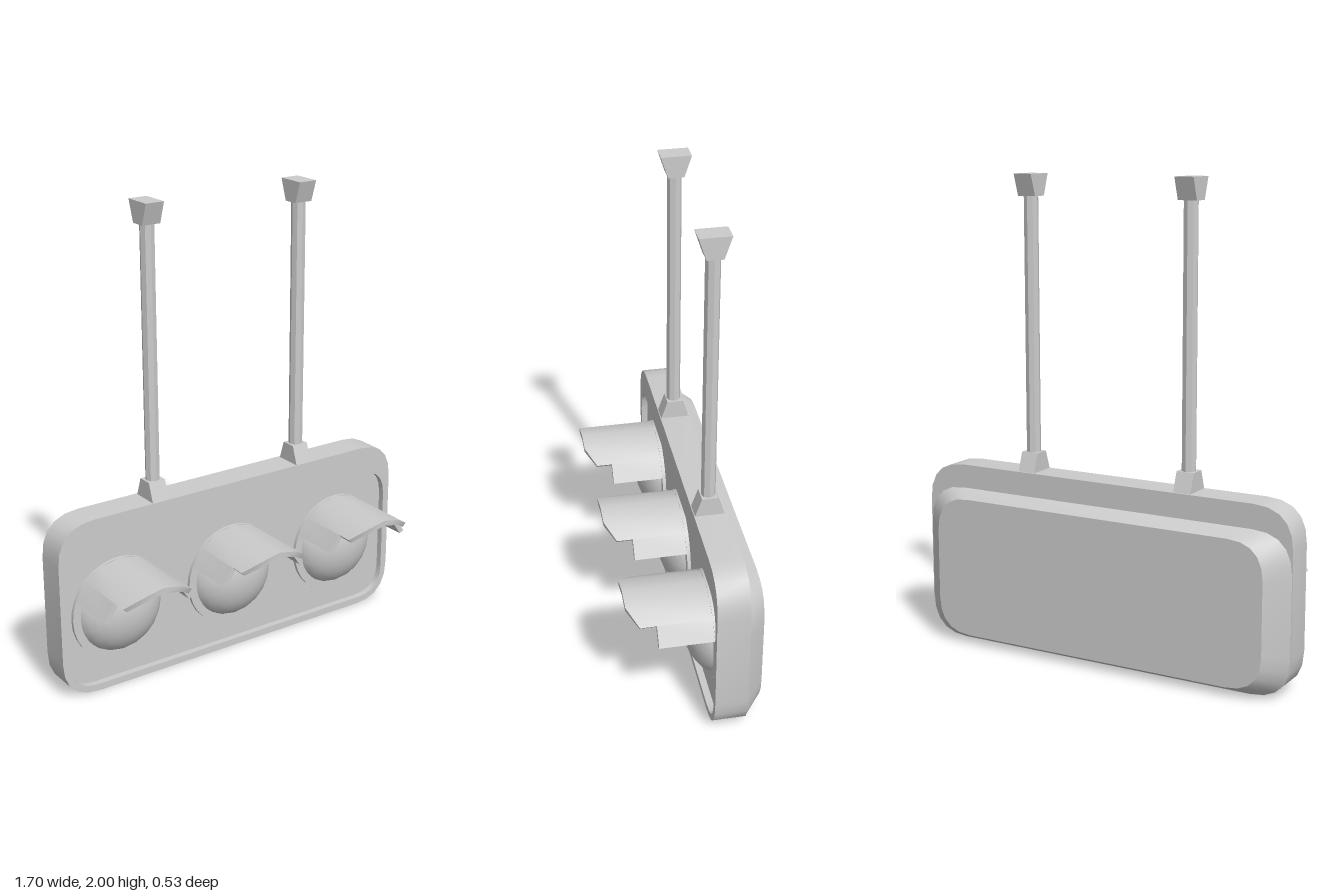
import * as THREE from 'three';
import { mergeGeometries, toCreasedNormals } from 'three/addons/utils/BufferGeometryUtils.js';

const material = new THREE.MeshStandardMaterial({ color: 0xcccccc });
const CREASE = 0.55;
const LAMP_Y = 0.34;

function addMesh(parent, name, geometry) {
  const mesh = new THREE.Mesh(toCreasedNormals(geometry, CREASE), material);
  mesh.name = name;
  parent.add(mesh);
  return mesh;
}

// Rounded rectangle, symmetric in x
function roundedRect(halfWidth, y0, y1, r, target = new THREE.Shape()) {
  const w = halfWidth;
  target.moveTo(-w + r, y0);
  target.lineTo(w - r, y0);
  target.quadraticCurveTo(w, y0, w, y0 + r);
  target.lineTo(w, y1 - r);
  target.quadraticCurveTo(w, y1, w - r, y1);
  target.lineTo(-w + r, y1);
  target.quadraticCurveTo(-w, y1, -w, y1 - r);
  target.lineTo(-w, y0 + r);
  target.quadraticCurveTo(-w, y0, -w + r, y0);
  return target;
}

function extrude(shape, zBack, zFront) {
  const options = { depth: zFront - zBack, bevelEnabled: false, curveSegments: 5 };
  return new THREE.ExtrudeGeometry(shape, options).translate(0, 0, zBack);
}

// Moves every vertex of a geometry by a rule
function reshape(geometry, rule) {
  const p = geometry.attributes.position;
  const v = new THREE.Vector3();
  for (let i = 0; i < p.count; i++) {
    rule(v.fromBufferAttribute(p, i));
    p.setXYZ(i, v.x, v.y, v.z);
  }
  return geometry;
}

// One curved slab of the visor between two angles, with its own front edge
function visorSegment(step, zLeft, zRight) {
  const d = Math.PI / 8;
  return reshape(new THREE.BoxGeometry(1, 1, 1), (v) => {
    const angle = (v.x < 0 ? step + 1 : step) * d;
    const r = v.y > 0 ? 0.226 : 0.203;
    const front = v.x < 0 ? zLeft : zRight;
    v.set(Math.cos(angle) * r, Math.sin(angle) * r, v.z > 0 ? front : -0.1);
  });
}

function createLamp() {
  const lamp = new THREE.Group();
  lamp.name = 'lamp';

  // Flat ring round the lens
  const ring = new THREE.Shape().absarc(0, 0, 0.226, 0, Math.PI * 2);
  ring.holes.push(new THREE.Path().absarc(0, 0, 0.19, 0, Math.PI * 2, true));
  const ringGeometry = new THREE.ExtrudeGeometry(ring, { depth: 0.035, bevelEnabled: false, curveSegments: 16 });
  addMesh(lamp, 'lensRing', ringGeometry.translate(0, 0, -0.105));

  // Shallow domed lens
  const dome = new THREE.SphereGeometry(0.2, 20, 8, 0, Math.PI * 2, 0, Math.PI / 2);
  dome.rotateX(Math.PI / 2).scale(1, 1, 0.133 / 0.2).translate(0, 0, -0.113);
  const lens = new THREE.Mesh(dome, material);
  lens.name = 'lens';
  lamp.add(lens);

  // Stepped visor: short sides, long top with clipped corners
  const segments = [
    visorSegment(1, 0.153, 0.153),
    visorSegment(2, 0.265, 0.22),
    visorSegment(3, 0.265, 0.265),
    visorSegment(4, 0.265, 0.265),
    visorSegment(5, 0.22, 0.265),
    visorSegment(6, 0.153, 0.153),
  ];
  addMesh(lamp, 'visor', mergeGeometries(segments));
  return lamp;
}

// Block whose depth tapers from bottom to top
function bracket(width, y0, y1, depthBottom, depthTop) {
  const block = new THREE.BoxGeometry(width, y1 - y0, 1);
  reshape(block, (v) => { v.z *= v.y > 0 ? depthTop : depthBottom; });
  return block.translate(0, (y0 + y1) / 2, 0);
}

function createHanger() {
  const hanger = new THREE.Group();
  hanger.name = 'hanger';
  const pole = new THREE.CylinderGeometry(0.03, 0.03, 1.08, 8, 1);
  addMesh(hanger, 'pole', pole.translate(0, 1.38, 0));
  addMesh(hanger, 'lowerBracket', bracket(0.076, 0.765, 0.85, 0.125, 0.066));
  addMesh(hanger, 'upperBracket', bracket(0.082, 1.91, 2, 0.066, 0.126));
  return hanger;
}

export function createModel() {
  const model = new THREE.Group();
  model.name = 'hangingSignalLight';

  // Rim with a recessed front panel
  const rim = roundedRect(0.85, 0, 0.77, 0.17);
  rim.holes.push(roundedRect(0.82, 0.03, 0.645, 0.13, new THREE.Path()));
  addMesh(model, 'housingRim', extrude(rim, -0.19, -0.057));
  addMesh(model, 'frontPanel', extrude(roundedRect(0.825, 0.025, 0.65, 0.13), -0.185, -0.085));

  // Back cover narrowing to the rear
  const cover = extrude(roundedRect(0.85, 0, 0.67, 0.17), -0.267, -0.188);
  reshape(cover, (v) => {
    if (v.z < -0.23) {
      v.x *= 0.76 / 0.85;
      v.y = 0.04 + v.y * (0.6 / 0.67);
    }
  });
  addMesh(model, 'backCover', cover);

  // Three lamps in a row
  for (const x of [-0.563, -0.003, 0.556]) {
    const lamp = createLamp();
    lamp.position.set(x, LAMP_Y, 0);
    model.add(lamp);
  }

  // Two hanging poles
  for (const x of [-0.368, 0.362]) {
    const hanger = createHanger();
    hanger.position.set(x, 0, -0.121);
    model.add(hanger);
  }
  return model;
}
